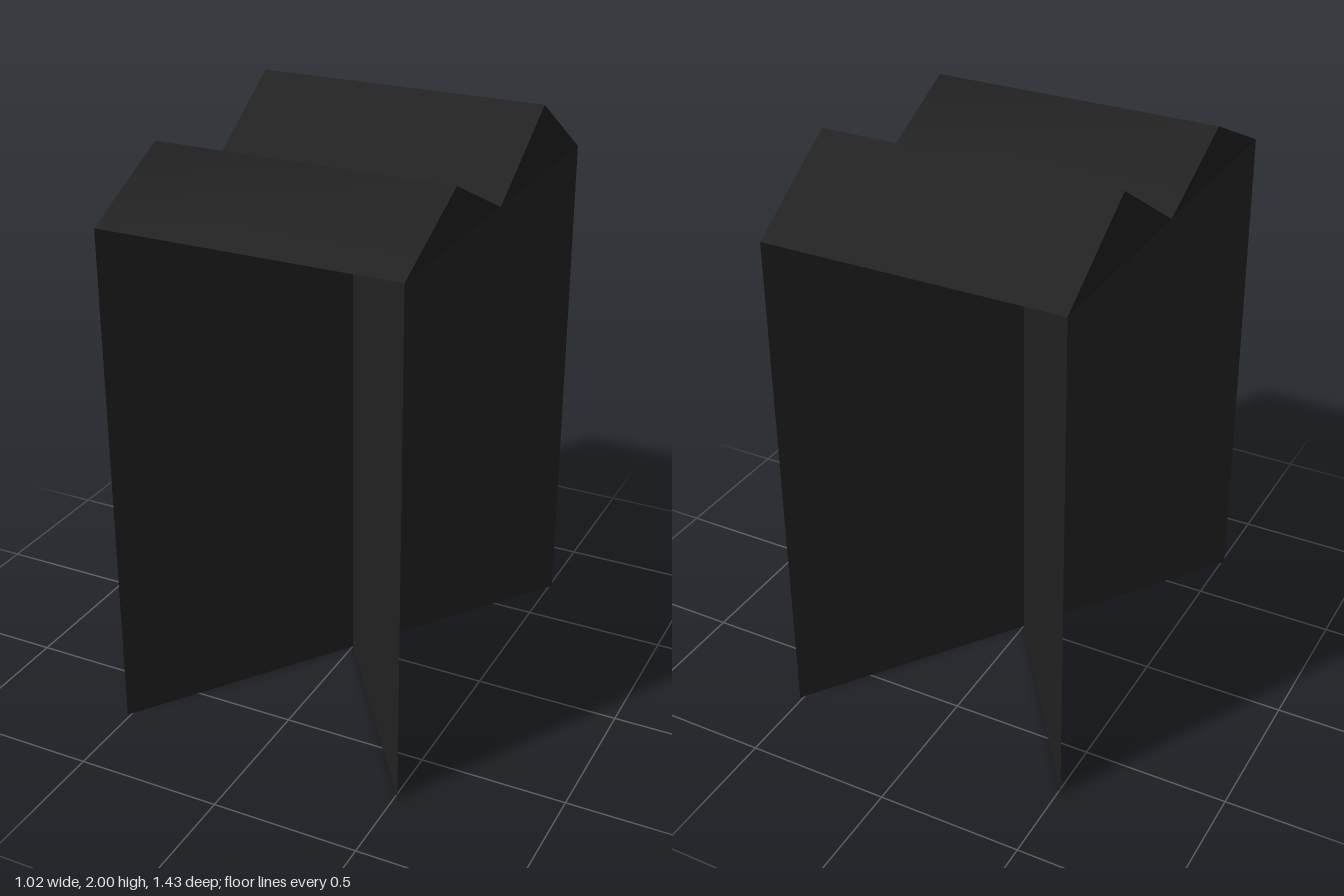
import * as THREE from 'three';

const W = 0.51, D = 0.717, EAVE = 1.766;

// Builds a mesh from points and triangle indices
function sheet(name, points, index, material, smooth) {
  let geo = new THREE.BufferGeometry();
  geo.setAttribute('position', new THREE.Float32BufferAttribute(points.flat(), 3));
  geo.setIndex(index);
  if (!smooth) geo = geo.toNonIndexed();
  geo.computeVertexNormals();
  const mesh = new THREE.Mesh(geo, material);
  mesh.name = name;
  return mesh;
}

// Open-bottomed gable: two slopes along x and a triangle at each end
function gable(name, zBack, zFront, ridgeY, material, smooth) {
  const group = new THREE.Group();
  group.name = name;
  const zMid = (zBack + zFront) / 2;
  const outline = [[EAVE, zFront], [ridgeY, zMid], [EAVE, zBack]];
  const left = outline.map(([y, z]) => [W, y, z]);
  const right = outline.map(([y, z]) => [-W, y, z]);
  group.add(
    sheet('roofSlopes', [...left, ...right],
      [3, 0, 1, 3, 1, 4, 4, 1, 2, 4, 2, 5], material, smooth),
    sheet('leftGableEnd', left, [0, 2, 1], material, false),
    sheet('rightGableEnd', right, [0, 1, 2], material, false)
  );
  return group;
}

export function createModel() {
  const model = new THREE.Group();
  model.name = 'crossPanelStand';
  const charcoal = new THREE.MeshStandardMaterial({ color: 0x222222, side: THREE.DoubleSide });
  charcoal.name = 'charcoal';

  // Two upright panels crossing on the diagonals
  for (const side of [1, -1]) {
    const panel = new THREE.Mesh(new THREE.PlaneGeometry(2 * Math.hypot(W, D), EAVE), charcoal);
    panel.position.y = EAVE / 2;
    panel.rotation.y = side * Math.atan2(D, W);
    panel.name = side > 0 ? 'diagonalPanelA' : 'diagonalPanelB';
    model.add(panel);
  }

  // Twin gabled roof, the rear ridge a little higher
  model.add(gable('frontRoof', 0, D, 1.94, charcoal, true));
  model.add(gable('rearRoof', -D, 0, 2, charcoal, false));
  return model;
}
